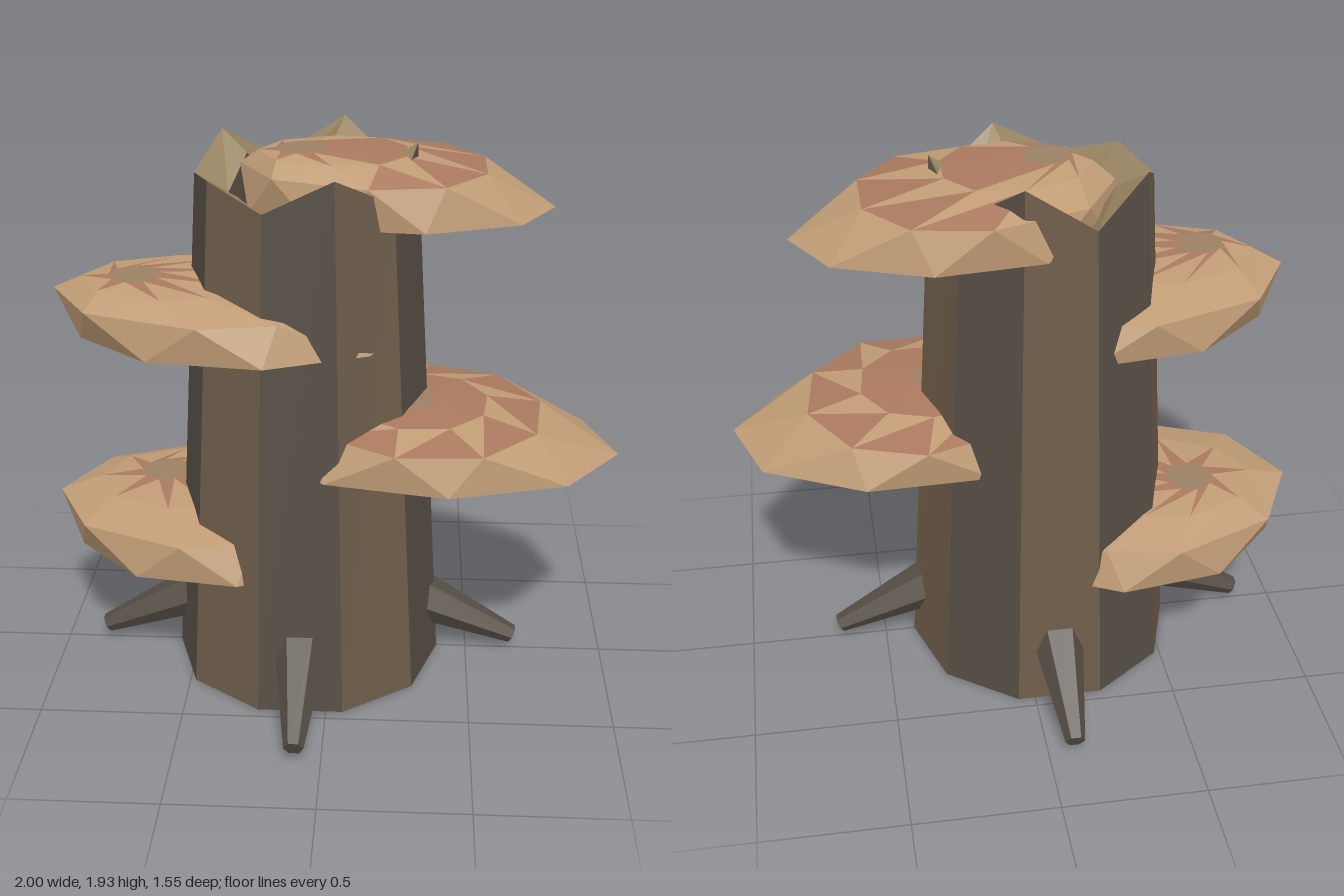
import * as THREE from 'three';

const mat = (color) => new THREE.MeshStandardMaterial({ color, flatShading: true });
const brownBark = mat(0x6e5d4a);
const greyBark = mat(0x564e45);
const wood = mat(0x968260);
const tan = mat(0xc09c75);
const salmon = mat(0xaa795f);
const umber = mat(0x9c8062);

const AXIS = -0.09; // trunk centre on x

// Closed ring of n points, point i at angle (i + phase) steps from +x towards +z
function ring(n, phase, fn) {
  return Array.from({ length: n }, (_, i) => fn(((i + phase) / n) * Math.PI * 2, i));
}
const fill = (n, x, y, z) => ring(n, 0, () => new THREE.Vector3(x, y, z));

// Two triangles per step between two rings (a ring may shrink to a point)
function band(lower, upper) {
  const tris = [];
  lower.forEach((p, i) => {
    const j = (i + 1) % lower.length;
    tris.push([p, upper[i], lower[j]], [upper[i], upper[j], lower[j]]);
  });
  return tris;
}

// Mesh from triangles, leaving out the empty ones
function mesh(name, tris, material) {
  const solid = tris.filter(([a, b, c]) => new THREE.Triangle(a, b, c).getArea() > 1e-7);
  const g = new THREE.BufferGeometry().setFromPoints(solid.flat());
  g.computeVertexNormals();
  const m = new THREE.Mesh(g, material);
  m.name = name;
  return m;
}

// Hollow, ten-sided stump with a jagged broken rim and alternating bark facets
function createTrunk() {
  const n = 10;
  const peaks = [1.92, 1.77, 1.88, 1.77, 1.84, 1.81, 1.91, 1.78, 1.93, 1.79];
  const loop = (r, height) => ring(n, 0, (a, i) =>
    new THREE.Vector3(AXIS + r * Math.cos(a), height(i), r * Math.sin(a)));
  const base = loop(0.482, () => 0);
  const outer = loop(0.372, (i) => peaks[i]);
  const inner = loop(0.26, (i) => peaks[i] - 0.07);
  const floor = loop(0.24, () => 1.55);
  const wall = band(base, outer);
  const trunk = new THREE.Group();
  trunk.name = 'trunk';
  trunk.add(
    mesh('greyBark', wall.filter((_, i) => i % 4 < 2), greyBark),
    mesh('brownBark', wall.filter((_, i) => i % 4 >= 2), brownBark),
    mesh('base', band(fill(n, AXIS, 0, 0), base), greyBark),
    mesh('brokenRim', band(outer, inner), wood),
    mesh('hollow', [...band(inner, floor), ...band(floor, fill(n, AXIS, 1.55, 0))], greyBark),
  );
  return trunk;
}

// Tapered six-sided root sloping down and out
function createRoot(angle) {
  const from = new THREE.Vector3(0.35, 0.245, 0);
  const to = new THREE.Vector3(0.762, 0.058, 0);
  const geo = new THREE.CylinderGeometry(0.034, 0.1, from.distanceTo(to), 6);
  const root = new THREE.Mesh(geo, greyBark);
  const dir = to.clone().sub(from).normalize();
  root.quaternion.setFromUnitVectors(new THREE.Vector3(0, 1, 0), dir);
  root.position.copy(from).lerp(to, 0.5);
  const pivot = new THREE.Group();
  pivot.name = 'root';
  pivot.position.x = AXIS;
  pivot.rotation.y = angle;
  pivot.add(root);
  return pivot;
}

// Shelf fungus: faceted rim of two staggered rings, domed cap and shallow underside
function createShelf({ c, r, y, disc, up, low, turn }) {
  const n = 9;
  const [bottom, lowY, upY, top] = y;
  // sx scales the ring along x, separately on its +x and -x halves
  const loop = (phase, s, sx, h) => ring(n, phase, (angle) => {
    const a = angle + turn;
    const half = Math.cos(a) > 0 ? sx[0] : sx[1];
    return new THREE.Vector3(c[0] + r[0] * s * half * Math.cos(a), h, c[1] + r[1] * s * Math.sin(a));
  });
  const under = loop(0, 0.4, [1, 1], bottom);
  const lower = loop(0, 1, [low, low], lowY);
  const upper = loop(0.5, 0.98, up, upY);
  const crown = ring(n, 0.5, (a) => new THREE.Vector3(
    disc[0] + 0.085 * Math.cos(a + turn), top, disc[1] + 0.085 * Math.sin(a + turn)));
  const middle = upper.map((p, i) => {
    const m = p.clone().lerp(crown[i], 0.5);
    m.y = upY + (top - upY) * 0.75;
    return m;
  });
  // Reddish wedges: broad ones on the +x side, narrow rays around the crown
  const cap = [...band(upper, middle), ...band(middle, crown)];
  const reddish = (t, i) => (i % 2 === 0 ? t[0].x + t[1].x + t[2].x > 0.3 : i >= 2 * n);
  const shelf = new THREE.Group();
  shelf.name = 'shelfFungus';
  shelf.add(
    mesh('underside', [...band(fill(n, c[0], bottom, c[1]), under), ...band(under, lower)], salmon),
    mesh('rim', band(lower, upper), tan),
    mesh('capRays', cap.filter(reddish), salmon),
    mesh('capPanels', cap.filter((t, i) => !reddish(t, i)), tan),
    mesh('capCentre', band(crown, fill(n, disc[0], top, disc[1])), umber),
  );
  return shelf;
}

export function createModel() {
  const model = new THREE.Group();
  model.name = 'fungusStump';
  model.add(createTrunk());
  for (let i = 0; i < 4; i++) model.add(createRoot((i * Math.PI) / 2));

  // c: centre x,z; r: radii x,z; y: underside, lower rim, upper rim, crown heights
  const shelves = [
    { c: [0.22, -0.07], r: [0.53, 0.35], y: [1.64, 1.69, 1.83, 1.9], disc: [-0.1, 0], up: [0.6, 1.03], low: 1, turn: 0 },
    { c: [0.37, 0.08], r: [0.63, 0.43], y: [0.82, 0.87, 1.0, 1.05], disc: [0.27, 0.1], up: [0.6, 0.8], low: 1, turn: 0.12 },
    { c: [-0.3, 0.06], r: [0.65, 0.41], y: [1.23, 1.29, 1.42, 1.49], disc: [-0.66, 0.12], up: [0.45, 1.02], low: 0.88, turn: 0 },
    { c: [-0.4, -0.04], r: [0.6, 0.45], y: [0.4, 0.46, 0.6, 0.66], disc: [-0.62, -0.1], up: [0.5, 1.02], low: 0.88, turn: 0 },
  ];
  shelves.forEach((s) => model.add(createShelf(s)));
  return model;
}
